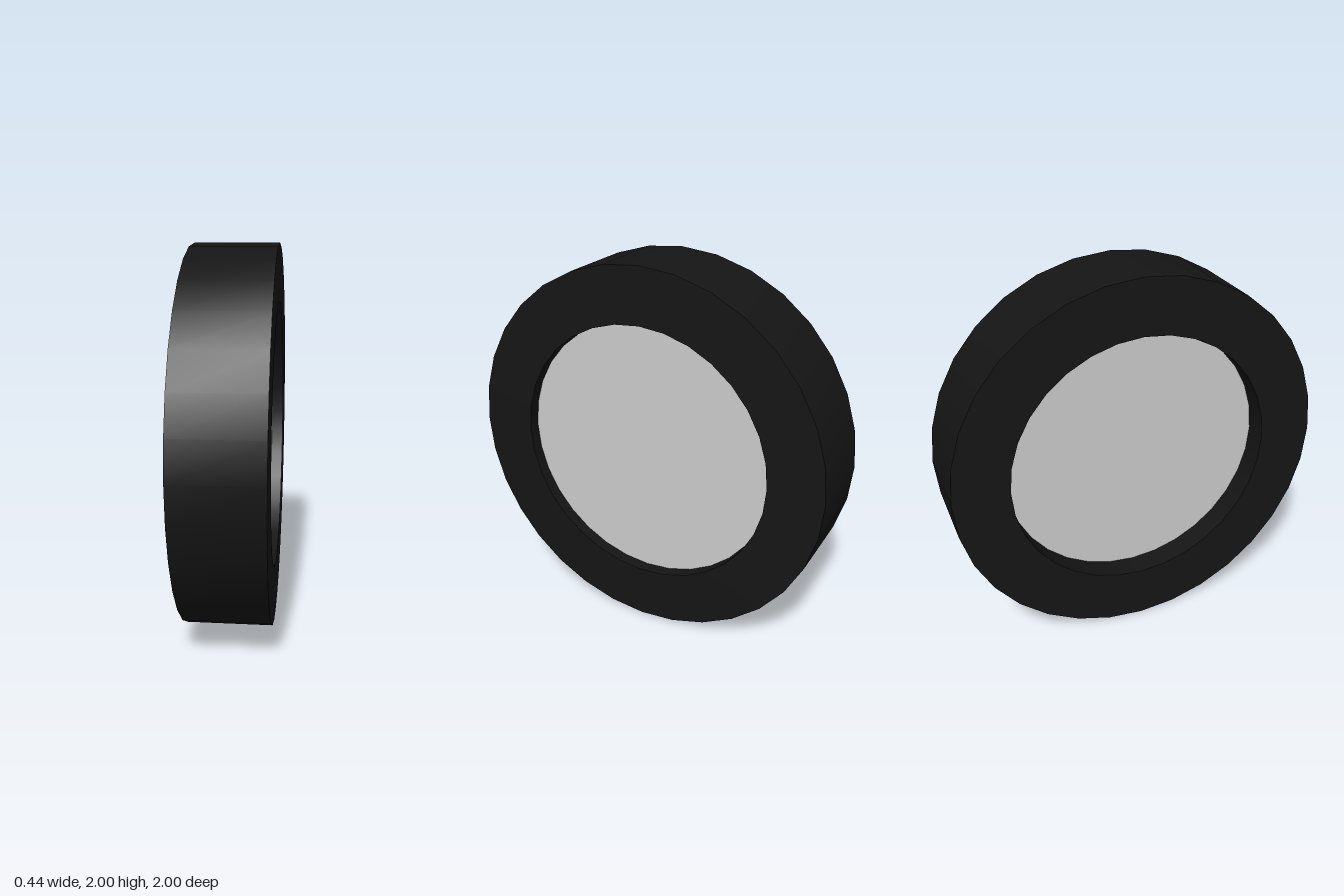
import * as THREE from 'three';
import { toCreasedNormals } from 'three/addons/utils/BufferGeometryUtils.js';

const SIDES = 32;
const OUTER = 1, INNER = 0.705, HALF_WIDTH = 0.22;

export function createModel() {
  const group = new THREE.Group();
  group.name = 'wheel';

  // Tyre: rectangular section turned about the axle (the x axis)
  const section = [
    [INNER, -HALF_WIDTH], [OUTER, -HALF_WIDTH], [OUTER, HALF_WIDTH],
    [INNER, HALF_WIDTH], [INNER, -HALF_WIDTH],
  ].map(([r, x]) => new THREE.Vector2(r, x));
  const tyre = new THREE.Mesh(
    toCreasedNormals(new THREE.LatheGeometry(section, SIDES), Math.PI / 4),
    new THREE.MeshStandardMaterial({ color: 0x151515 })
  );
  tyre.name = 'tyre';

  // Hub disc: recessed deeper on the -x side than on the +x side
  const discMin = -0.09, discMax = 0.155;
  const disc = new THREE.Mesh(
    new THREE.CylinderGeometry(INNER, INNER, discMax - discMin, SIDES),
    new THREE.MeshStandardMaterial({ color: 0xcccccc })
  );
  disc.name = 'hubDisc';
  disc.position.x = (discMin + discMax) / 2;

  for (const part of [tyre, disc]) {
    part.rotation.z = -Math.PI / 2;
    part.position.y = OUTER;
    group.add(part);
  }
  return group;
}
